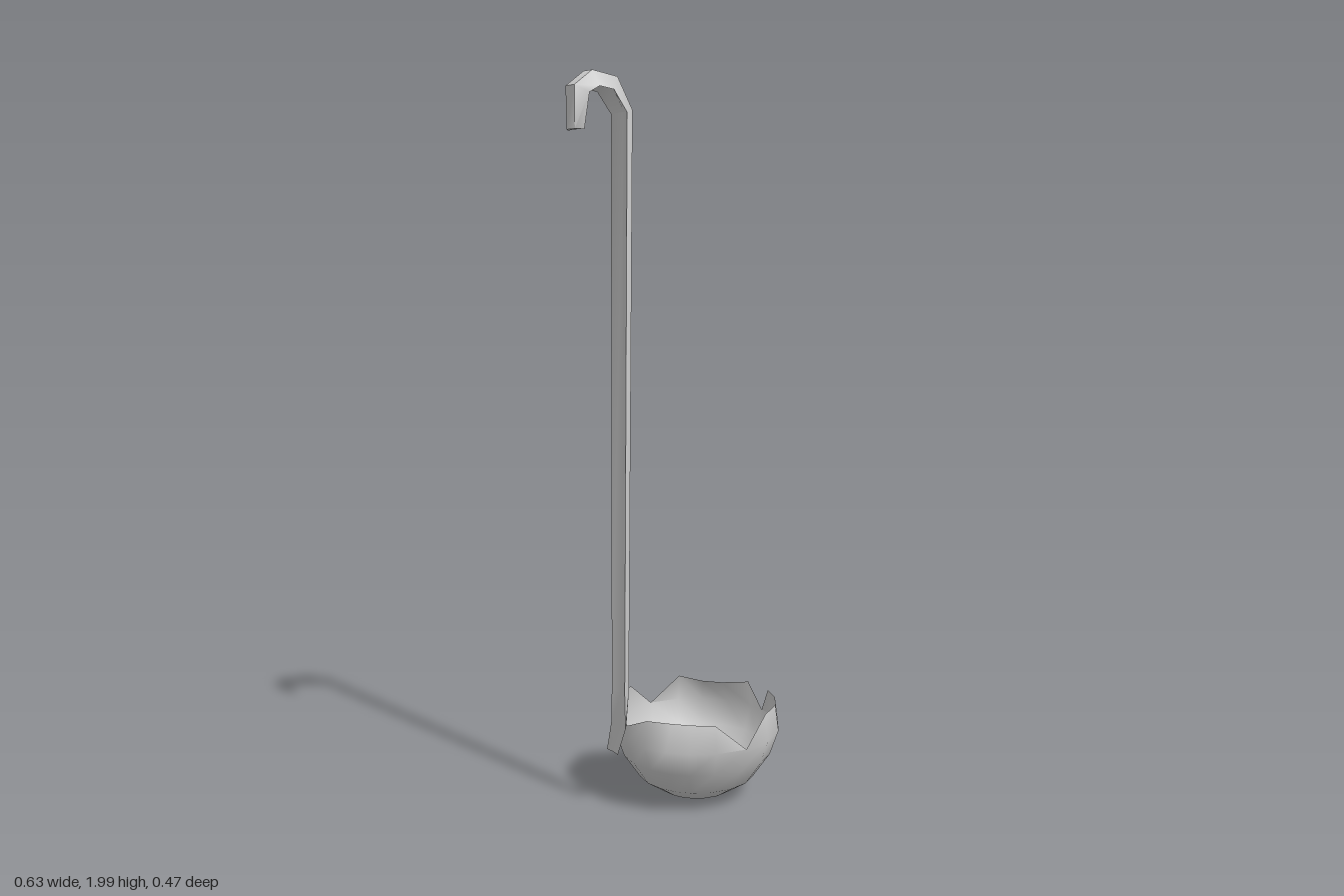
import * as THREE from 'three';
import { toCreasedNormals } from 'three/addons/utils/BufferGeometryUtils.js';

const material = new THREE.MeshStandardMaterial({ color: 0xcccccc, side: THREE.DoubleSide });

// Skins closed rings of points, each ring an array of [x, y, z]; capped ends fan from the last point.
function skin(rings, capped) {
  const n = rings[0].length;
  const index = [];
  for (let i = 0; i < rings.length - 1; i++) {
    for (let j = 0; j < n; j++) {
      const a = i * n + j, b = i * n + (j + 1) % n;
      index.push(a, a + n, b, b, a + n, b + n);
    }
  }
  if (capped) {
    const end = (rings.length - 1) * n;
    for (let j = 0; j < n - 2; j++) {
      index.push(n - 1, j, j + 1, end + n - 1, end + j + 1, end + j);
    }
  }
  const geometry = new THREE.BufferGeometry();
  geometry.setAttribute('position', new THREE.Float32BufferAttribute(rings.flat(2), 3));
  geometry.setIndex(index);
  geometry.computeVertexNormals();
  return geometry;
}

// Open hemispherical bowl with V-shaped notches in the rim
function makeBowl() {
  const cx = 0.08;
  const angles = [0, 12, 29, 46, 68, 90, 112, 130, 146, 162, 180, 200, 220, 247, 270, 292, 310, 328, 348];
  const profile = [[0.001, 0.005], [0.1, 0.02], [0.165, 0.062], [0.212, 0.13], [0.236, 0.2]];
  const point = (r, y, deg) => {
    const a = THREE.MathUtils.degToRad(deg);
    return [cx + r * Math.cos(a), y, r * Math.sin(a)];
  };
  const rings = profile.map(([r, y]) => angles.map((deg) => point(r, y, deg)));
  const rimAt = (deg) => {
    if (deg % 90 === 0) return deg === 180 ? [0.234, 0.245] : [0.236, 0.2];
    // Two opposite quarters of the rim lean inwards
    const folded = [130, 146, 310, 328].includes(deg);
    return folded ? [0.195, 0.268] : [0.226, 0.275];
  };
  rings.push(angles.map((deg) => point(...rimAt(deg), deg)));
  return skin(rings, false);
}

// Long arched strip that bends over into a hook
function makeHandle() {
  // x, y, z, half width, thickness
  const stations = [
    [-0.172, 0.16, -0.045, 0.028, 0.006],
    [-0.174, 0.25, -0.003, 0.037, 0.014],
    [-0.172, 0.35, 0.002, 0.033, 0.024],
    [-0.155, 1.9, 0, 0.039, 0.03],
    [-0.198, 1.968, 0, 0.041, 0.042],
    [-0.255, 1.978, -0.004, 0.043, 0.042],
    [-0.297, 1.95, -0.004, 0.044, 0.036],
    [-0.306, 1.85, 0, 0.041, 0.016],
  ];
  const section = [[-1, -0.5], [-0.5, 0.5], [0.5, 0.5], [1, -0.5], [0, 0]];
  const rings = stations.map(([x, y, z, w, t], i) => {
    const p = stations[Math.max(i - 1, 0)];
    const q = stations[Math.min(i + 1, stations.length - 1)];
    const d1 = new THREE.Vector2(x - p[0], y - p[1]).normalize();
    const d2 = new THREE.Vector2(q[0] - x, q[1] - y).normalize();
    const dir = d1.add(d2).normalize();
    return section.map(([u, v]) => [x + dir.y * v * t, y - dir.x * v * t, z + u * w]);
  });
  return toCreasedNormals(skin(rings, true), 0.9);
}

export function createModel() {
  const model = new THREE.Group();
  model.name = 'ladle';
  for (const [name, geometry] of [['bowl', makeBowl()], ['hookedHandle', makeHandle()]]) {
    const mesh = new THREE.Mesh(geometry, material);
    mesh.name = name;
    model.add(mesh);
  }
  return model;
}
